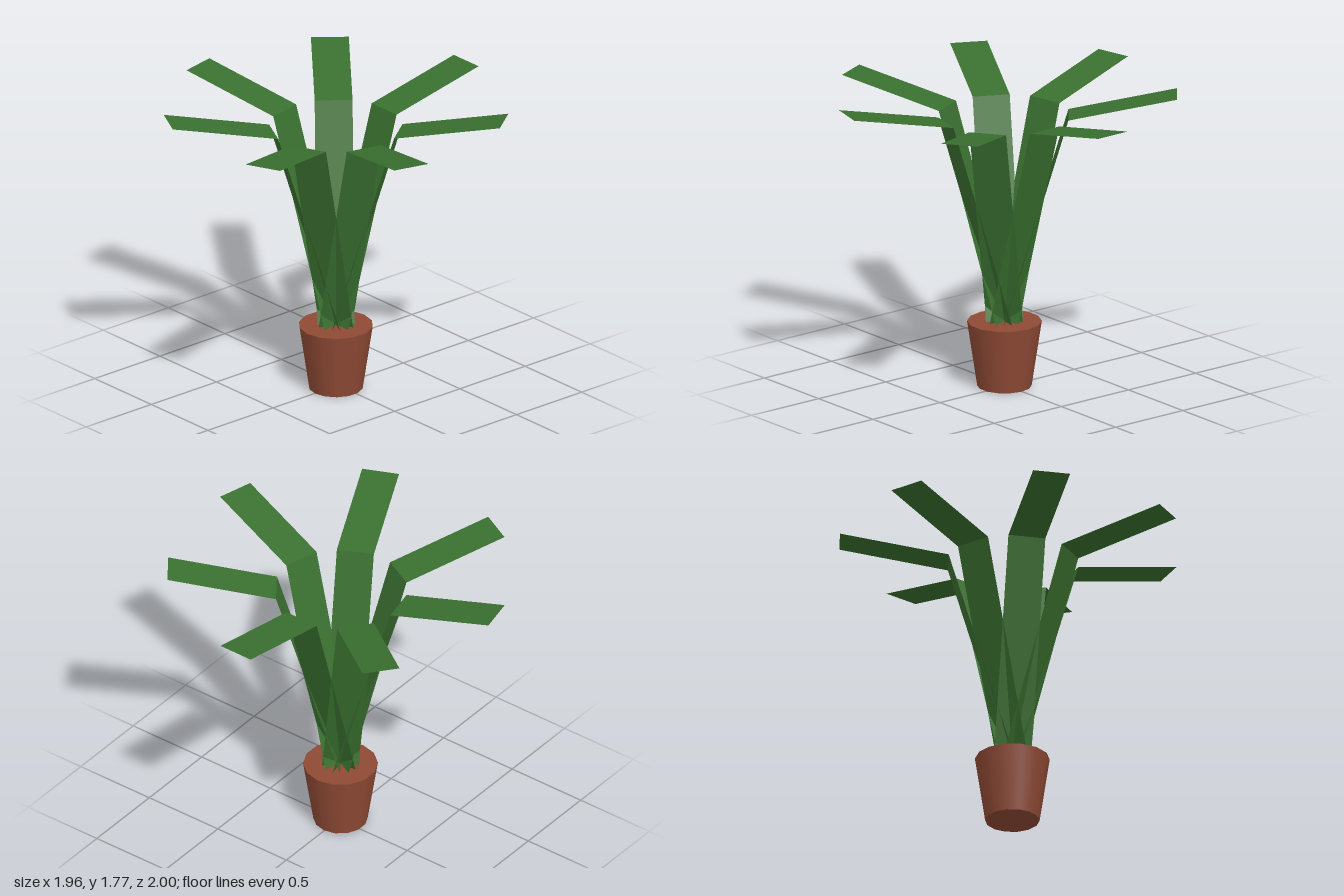
import * as THREE from 'three';

const POT_TOP = 0.393, LEAF_HALF_WIDTH = 0.11;
const LEAF_COUNT = 7, LEAF_STEP = THREE.MathUtils.degToRad(51);
// radius and height along a leaf: base, bend, tip
const LEAF_PROFILE = [[0, POT_TOP], [0.371, 1.647], [1.001, 1.774]];

// One flat strip segment of a leaf, running outwards along +x
function leafSegment([r0, y0], [r1, y1], material, name) {
  const w = LEAF_HALF_WIDTH;
  const geometry = new THREE.BufferGeometry();
  geometry.setAttribute('position', new THREE.Float32BufferAttribute(
    [r0, y0, w, r1, y1, w, r1, y1, -w, r0, y0, -w], 3));
  geometry.setIndex([0, 1, 2, 0, 2, 3]);
  geometry.computeVertexNormals();
  const mesh = new THREE.Mesh(geometry, material);
  mesh.name = name;
  return mesh;
}

export function createModel() {
  const leafGreen = new THREE.MeshStandardMaterial({ color: 0x3a7030, side: THREE.DoubleSide });
  leafGreen.name = 'leaf green';
  const terracotta = new THREE.MeshStandardMaterial({ color: 0x8f4a35 });
  terracotta.name = 'terracotta';

  const model = new THREE.Group();
  model.name = 'pottedPlant';

  // Tapered pot
  const pot = new THREE.Mesh(new THREE.CylinderGeometry(0.217, 0.158, POT_TOP, 14), terracotta);
  pot.name = 'pot';
  pot.position.y = POT_TOP / 2;
  pot.rotation.y = Math.PI / 2;
  model.add(pot);

  // Bent strap leaves fanned around the pot's axis
  for (let i = 0; i < LEAF_COUNT; i++) {
    const leaf = new THREE.Group();
    leaf.name = `leaf${i + 1}`;
    const [base, bend, tip] = LEAF_PROFILE;
    leaf.add(leafSegment(base, bend, leafGreen, 'leafStem'));
    leaf.add(leafSegment(bend, tip, leafGreen, 'leafBlade'));
    leaf.rotation.y = i * LEAF_STEP;
    model.add(leaf);
  }

  // Uneven fan, so shift the axis to centre the overall bounds
  for (const part of model.children) {
    part.position.x = -0.021;
    part.position.z = 0.0035;
  }
  return model;
}
